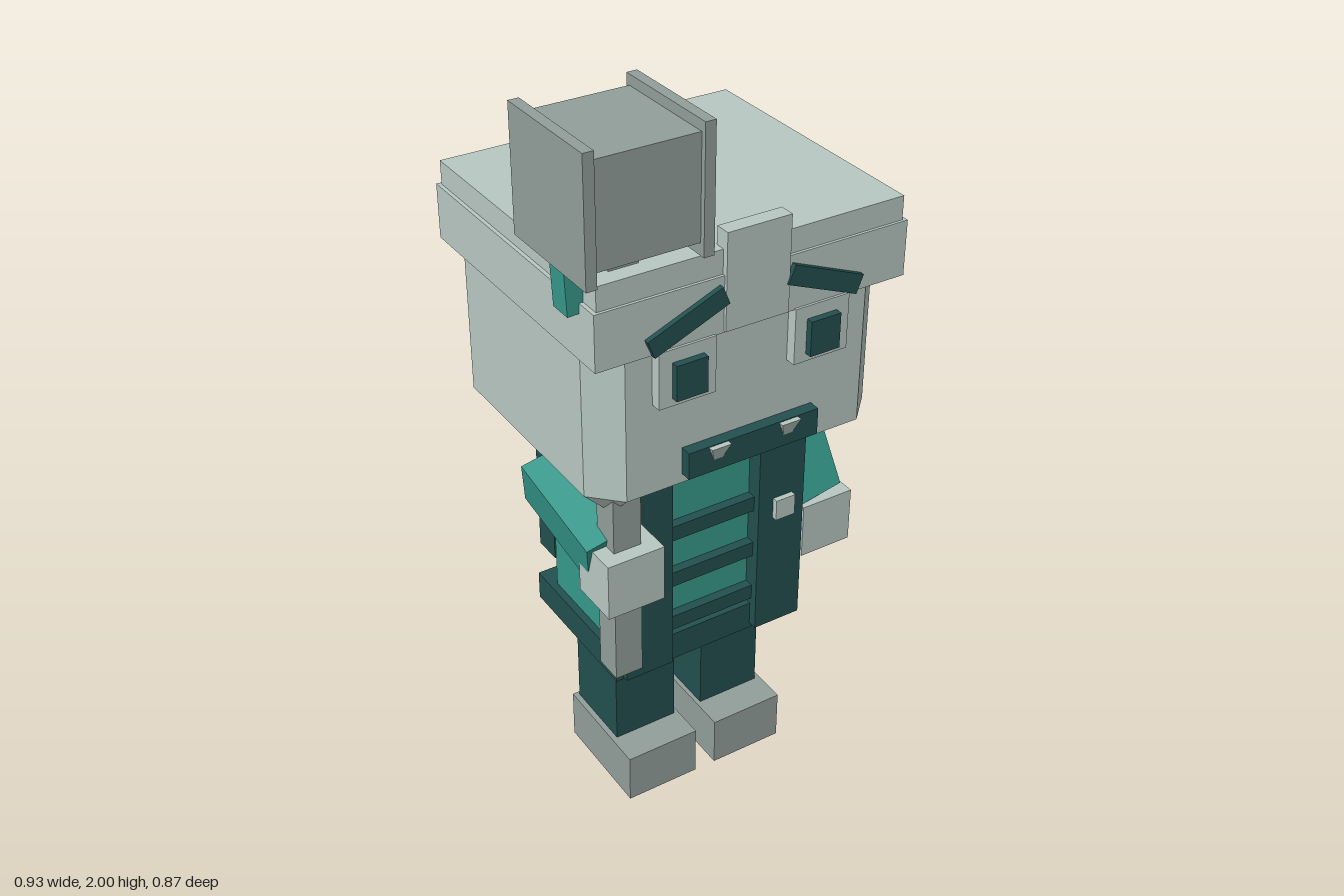
import * as THREE from 'three';

const mat = (name, color) => {
  const m = new THREE.MeshStandardMaterial({ color });
  m.name = name;
  return m;
};

// Box-like shell with cut corners: open below with pointed corner tips, optional bevelled lid
function chamferedShell([x0, x1], [y0, y1], [z0, z1], c, lid) {
  const ring = [
    [x1, z0 + c], [x1, z1 - c], [x1 - c, z1], [x0 + c, z1],
    [x0, z1 - c], [x0, z0 + c], [x0 + c, z0], [x1 - c, z0],
  ];
  const clamp = THREE.MathUtils.clamp;
  const inner = ring.map(([x, z]) => [clamp(x, x0 + c, x1 - c), clamp(z, z0 + c, z1 - c)]);
  const pos = [];
  const at = ([x, z], y) => [x, y, z];
  const tri = (a, b, d) => pos.push(...a, ...b, ...d);
  const quad = (a, b, d, e) => { tri(a, b, d); tri(a, d, e); };
  for (let i = 0; i < 8; i++) {
    const j = (i + 1) % 8;
    quad(at(ring[i], y0), at(ring[i], y1), at(ring[j], y1), at(ring[j], y0));
    if (i % 2) tri(at(inner[i], y0 - c), at(ring[i], y0), at(ring[j], y0));
    if (!lid) continue;
    if (i % 2) tri(at(ring[i], y1), at(inner[i], y1 + c), at(ring[j], y1));
    else quad(at(ring[i], y1), at(inner[i], y1 + c), at(inner[j], y1 + c), at(ring[j], y1));
  }
  if (lid) quad(...[7, 5, 3, 1].map((k) => at(inner[k], y1 + c)));
  const g = new THREE.BufferGeometry();
  g.setAttribute('position', new THREE.Float32BufferAttribute(pos, 3));
  g.computeVertexNormals();
  return g;
}

export function createModel() {
  const model = new THREE.Group();
  model.name = 'blockyHammerFighter';
  const pale = mat('paleSkin', 0xb8c8c2);
  const grey = mat('stoneGrey', 0x929f9a);
  const teal = mat('tealCloth', 0x36998b);
  const dark = mat('darkTeal', 0x234f4f);

  const add = (name, geometry, material) => {
    const m = new THREE.Mesh(geometry, material);
    m.name = name;
    model.add(m);
    return m;
  };
  // Box given by its ranges on each axis
  const box = (name, material, [x0, x1], [y0, y1], [z0, z1]) => {
    const m = add(name, new THREE.BoxGeometry(x1 - x0, y1 - y0, z1 - z0), material);
    m.position.set((x0 + x1) / 2, (y0 + y1) / 2, (z0 + z1) / 2);
    return m;
  };
  // Box given by centre, size and rotation (roll applied after pitch)
  const tilted = (name, material, size, position, pitch, roll) => {
    const m = add(name, new THREE.BoxGeometry(...size), material);
    m.position.set(...position);
    m.rotation.set(pitch, 0, roll, 'ZXY');
    return m;
  };
  const MID = -0.01; // body centre line
  const span = (s, a, b) => [MID + Math.min(s * a, s * b), MID + Math.max(s * a, s * b)];

  // Head and cap
  add('head', chamferedShell([-0.4, 0.38], [1.09, 1.47], [-0.335, 0.35], 0.07, false), pale);
  box('capBand', pale, [-0.415, 0.4], [1.465, 1.605], [-0.36, 0.372]);
  box('capTop', pale, [-0.405, 0.39], [1.605, 1.665], [-0.352, 0.365]);
  box('capCrest', pale, [-0.093, 0.073], [1.47, 1.71], [0.34, 0.38]);

  // Mouth
  box('mouth', dark, [-0.185, 0.17], [1.115, 1.185], [0.35, 0.38]);

  // Torso, belt, vest and pack
  add('torso', chamferedShell([-0.265, 0.245], [0.475, 1.0], [-0.175, 0.19], 0.05, true), teal);
  box('belt', dark, [-0.285, 0.265], [0.435, 0.515], [-0.19, 0.21]);
  box('backPack', dark, [-0.245, 0.225], [0.56, 0.97], [-0.25, -0.17]);
  for (const y of [0.535, 0.672, 0.812])
    box('chestBar', dark, [-0.136, 0.116], [y, y + 0.042], [0.18, 0.215]);

  for (const s of [-1, 1]) {
    // Face details
    box('eyePlate', pale, span(s, 0.105, 0.252), [1.325, 1.468], [0.345, 0.378]);
    box('pupil', dark, span(s, 0.137, 0.218), [1.345, 1.435], [0.37, 0.396]);
    tilted('brow', dark, [0.205, 0.048, 0.03], [MID + s * 0.18, 1.525, 0.37], 0, -s * 0.39);
    const fang = add('fang', new THREE.ConeGeometry(0.037, 0.07, 4).rotateY(Math.PI / 4), pale);
    fang.material = pale;
    fang.geometry = fang.geometry.toNonIndexed();
    fang.geometry.computeVertexNormals();
    fang.rotation.x = Math.PI;
    fang.position.set(MID + s * 0.096, 1.148, 0.368);
    // Feathers behind the head
    tilted('backFeather', pale, [0.095, 0.305, 0.055], [MID + s * 0.098, 1.41, -0.408], 0, -s * 0.25);
    // Vest
    box('vestPanel', dark, span(s, 0.125, 0.26), [0.45, 1.02], [0.18, 0.235]);
    box('vestButton', pale, span(s, 0.168, 0.224), [0.787, 0.845], [0.23, 0.25]);
    // Legs
    box('leg', dark, span(s, 0.042, 0.22), [0.13, 0.42], [-0.09, 0.11]);
    box('boot', grey, span(s, 0.03, 0.235), [0, 0.14], [-0.1, 0.2]);
  }

  // Arms and hands
  tilted('leftArm', teal, [0.133, 0.29, 0.13], [0.347, 0.845, 0.047], -0.28, 0.19);
  box('leftHand', pale, [0.308, 0.46], [0.56, 0.715], [0.012, 0.165]);
  tilted('rightArm', teal, [0.133, 0.29, 0.133], [-0.335, 0.935, 0.135], -1.28, 0.2);
  box('rightHand', pale, [-0.388, -0.237], [0.785, 0.935], [0.225, 0.36]);

  // Hammer
  box('hammerHandle', grey, [-0.35, -0.277], [0.56, 1.74], [0.247, 0.322]);
  box('hammerHead', grey, [-0.44, -0.185], [1.73, 1.975], [0.143, 0.42]);
  for (const x of [-0.465, -0.187])
    box('hammerFace', grey, [x, x + 0.026], [1.7, 2], [0.132, 0.433]);
  tilted('hammerRibbon', teal, [0.045, 0.17, 0.06], [-0.425, 1.665, 0.282], 0, 0.05);
  tilted('hammerRibbon', teal, [0.045, 0.16, 0.06], [-0.205, 1.67, 0.282], 0, -0.03);
  return model;
}
